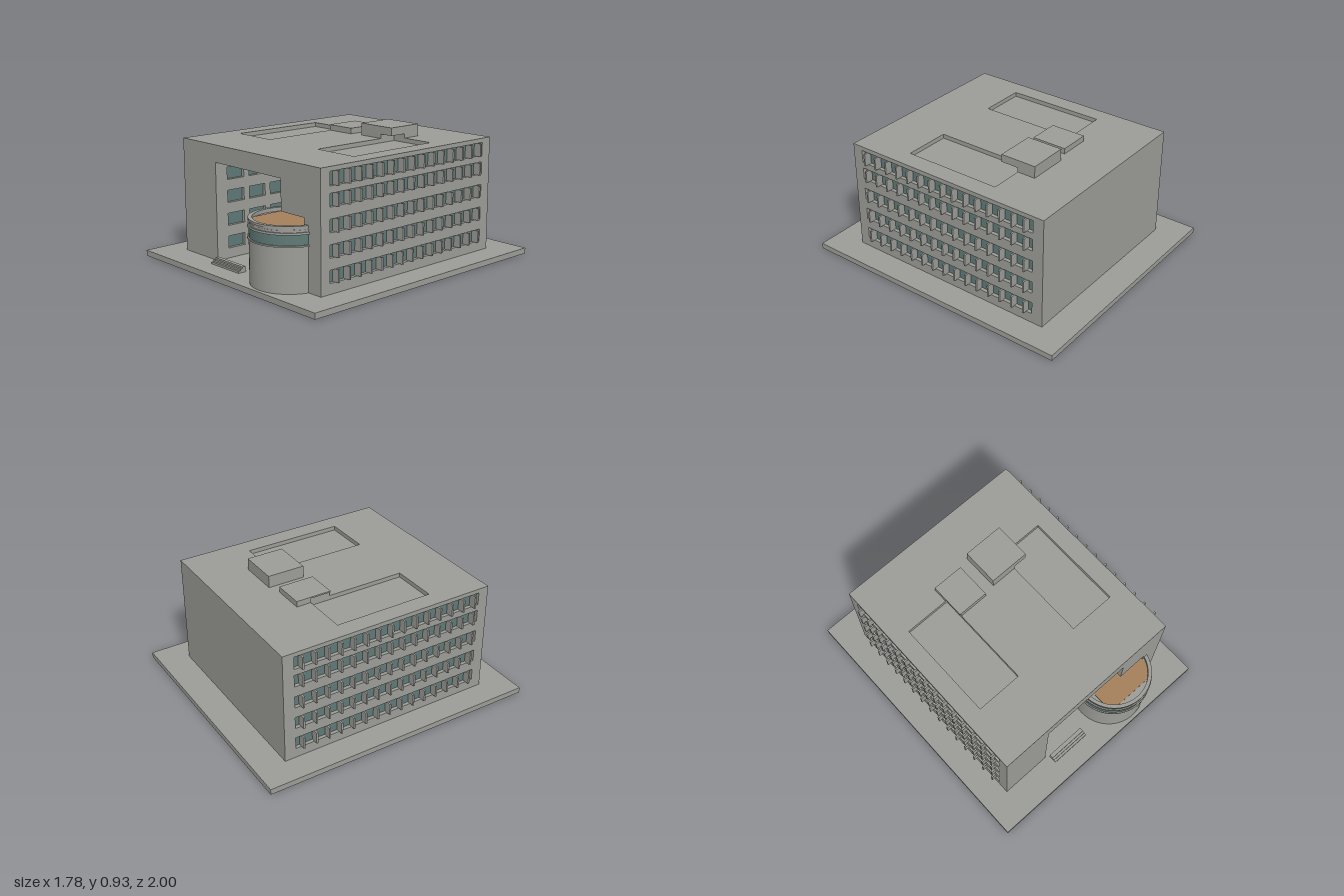
import * as THREE from 'three';

const material = (name, color, side = THREE.FrontSide) => {
  const m = new THREE.MeshStandardMaterial({ color, side });
  m.name = name;
  return m;
};

export function createModel() {
  const concrete = material('concrete', 0x9c9d98);
  const glass = material('teal glass', 0x5f7a77);
  const timber = material('timber deck', 0xa5805a);
  const model = new THREE.Group();
  model.name = 'officeBuilding';

  const add = (name, geometry, mat = concrete) => {
    const mesh = new THREE.Mesh(geometry, mat);
    mesh.name = name;
    model.add(mesh);
    return mesh;
  };
  // box given by its limits
  const box = (name, x0, x1, y0, y1, z0, z1, mat) =>
    add(name, new THREE.BoxGeometry(x1 - x0, y1 - y0, z1 - z0)
      .translate((x0 + x1) / 2, (y0 + y1) / 2, (z0 + z1) / 2), mat);
  const rect = (a0, a1, b0, b1) => [[a0, b0], [a1, b0], [a1, b1], [a0, b1]];
  const panel = (outline, holes, depth) => {
    const vec = pts => pts.map(p => new THREE.Vector2(...p));
    const shape = new THREE.Shape(vec(outline));
    holes.forEach(h => shape.holes.push(new THREE.Path(vec(h))));
    return new THREE.ExtrudeGeometry(shape, { depth, bevelEnabled: false, curveSegments: 48 });
  };
  // wall drawn in (z, y), its +x face at x
  const sideWall = (name, x, outline, holes, depth) =>
    add(name, panel(outline, holes, depth).rotateY(-Math.PI / 2).translate(x, 0, 0));
  // plate drawn in (x, z), its top at y
  const plate = (name, y, outline, holes, depth, mat) =>
    add(name, panel(outline, holes, depth).rotateX(Math.PI / 2).translate(0, y, 0), mat);

  const G = 0.04, TOP = 0.84, LINTEL = 0.72, FRONT = 0.785, BACK = -0.79, YARD = -0.5;

  // ground slab
  box('groundSlab', -0.89, 0.89, 0, G, -1, 1);

  // main body around the covered courtyard
  box('leftWing', -0.675, -0.37, G, LINTEL, YARD, FRONT);
  box('rearWing', -0.675, 0.675, G, LINTEL, BACK, YARD);
  box('rightWingLower', 0.365, 0.675, G, 0.44, YARD, FRONT);
  box('rightWingUpper', 0.365, 0.675, 0.51, LINTEL, YARD, FRONT);
  box('rightWingMiddle', 0.365, 0.675, 0.44, 0.51, YARD, 0.52);
  box('rightWingCorner', 0.555, 0.675, 0.44, 0.51, 0.52, FRONT);
  box('upperStorey', -0.675, 0.675, LINTEL, 0.81, BACK, FRONT);

  // roof with two sunken terraces
  plate('roof', TOP, rect(-0.675, 0.675, BACK, FRONT),
    [rect(-0.58, -0.25, -0.32, 0.39), rect(0.24, 0.575, -0.32, 0.39)], 0.03);

  // rooftop plant rooms, undercut where they overhang the terraces
  box('smallPlantRoom', -0.26, -0.035, 0.87, 0.88, -0.425, -0.17);
  box('smallPlantRoomBase', -0.25, -0.035, TOP, 0.87, -0.425, -0.17);
  box('smallPlantRoomBack', -0.26, -0.25, TOP, 0.87, -0.425, -0.32);
  box('largePlantRoom', 0.05, 0.34, 0.87, 0.925, -0.455, -0.19);
  box('largePlantRoomBase', 0.05, 0.24, TOP, 0.87, -0.455, -0.19);
  box('largePlantRoomBack', 0.24, 0.34, TOP, 0.87, -0.455, -0.32);

  // outer side walls: recessed window strips divided by projecting fins
  const rows = [[0.11, 0.195], [0.27, 0.355], [0.43, 0.515], [0.59, 0.675], [0.72, 0.81]];
  for (const s of [-1, 1]) {
    sideWall('sideWall', s > 0 ? 0.705 : -0.675, rect(BACK, FRONT, G, TOP),
      rows.map(([a, b]) => rect(-0.71, 0.71, a, b)), 0.03);
    for (const [a, b] of rows) {
      const x = s * 0.677;
      box('sideWindowStrip', x - 0.003, x + 0.003, a, b, -0.71, 0.71, glass);
      for (let i = -7; i <= 7; i++) {
        const z = i * 0.0945;
        box('windowFin', s * 0.705 - 0.03, s * 0.705 + 0.03, a, b, z - 0.006, z + 0.006);
      }
    }
  }

  // courtyard walls with single recessed windows
  const columns = [0.62, 0.435, 0.25, 0.065, -0.12, -0.305];
  const yardWall = (x, glassX, outline, cols) => {
    const holes = [];
    for (const z of cols) for (const [a, b] of rows.slice(0, 4)) {
      holes.push(rect(z - 0.07, z + 0.07, a, b));
      box('courtyardWindow', glassX - 0.003, glassX + 0.003, a, b, z - 0.07, z + 0.07, glass);
    }
    sideWall('courtyardWall', x, outline, holes, 0.03);
  };
  yardWall(-0.34, -0.368, rect(YARD, FRONT, G, LINTEL), columns);
  yardWall(0.365, 0.363, [[YARD, G], [FRONT, G], [FRONT, 0.44], [0.52, 0.44],
    [0.52, 0.51], [FRONT, 0.51], [FRONT, LINTEL], [YARD, LINTEL]], columns.slice(2));

  // stepped ledges on the courtyard's rear wall
  for (const y of [0.2, 0.363, 0.525]) {
    box('lowerLedge', -0.34, 0.335, y, y + 0.025, YARD, YARD + 0.06);
    box('upperLedge', -0.34, 0.335, y + 0.025, y + 0.05, YARD, YARD + 0.03);
  }

  // entrance steps
  for (let i = 0; i < 3; i++)
    box('entranceStep', -0.31, -0.015, G, 0.054 + i * 0.012, 0.8, 0.86 - i * 0.016);

  // round tower: shaft, glazed band and projecting rings
  const cx = 0.34, cz = 0.715;
  const drum = (name, r, y0, y1, mat) =>
    add(name, new THREE.CylinderGeometry(r, r, y1 - y0, 64).translate(cx, (y0 + y1) / 2, cz), mat);
  drum('towerShaft', 0.262, G, 0.338);
  drum('towerLowerRing', 0.271, 0.338, 0.348);
  drum('towerGlassBand', 0.262, 0.348, 0.415, glass);
  drum('towerUpperRing', 0.271, 0.415, 0.43);
  drum('towerTerrace', 0.262, 0.43, 0.444);

  // parapet around the terrace
  const circle = r => Array.from({ length: 64 }, (_, i) => {
    const a = i / 64 * Math.PI * 2;
    return [cx + r * Math.cos(a), cz + r * Math.sin(a)];
  });
  plate('towerParapet', 0.455, circle(0.26), [circle(0.24)], 0.012);
  plate('towerParapetCap', 0.47, circle(0.266), [circle(0.24)], 0.015);

  // timber deck
  plate('timberDeck', 0.449, [[0.135, 0.565], [0.2, 0.52], [0.555, 0.52],
    [0.555, 0.865], [0.48, 0.91], [0.2, 0.91], [0.135, 0.865]], [], 0.006, timber);

  return model;
}
